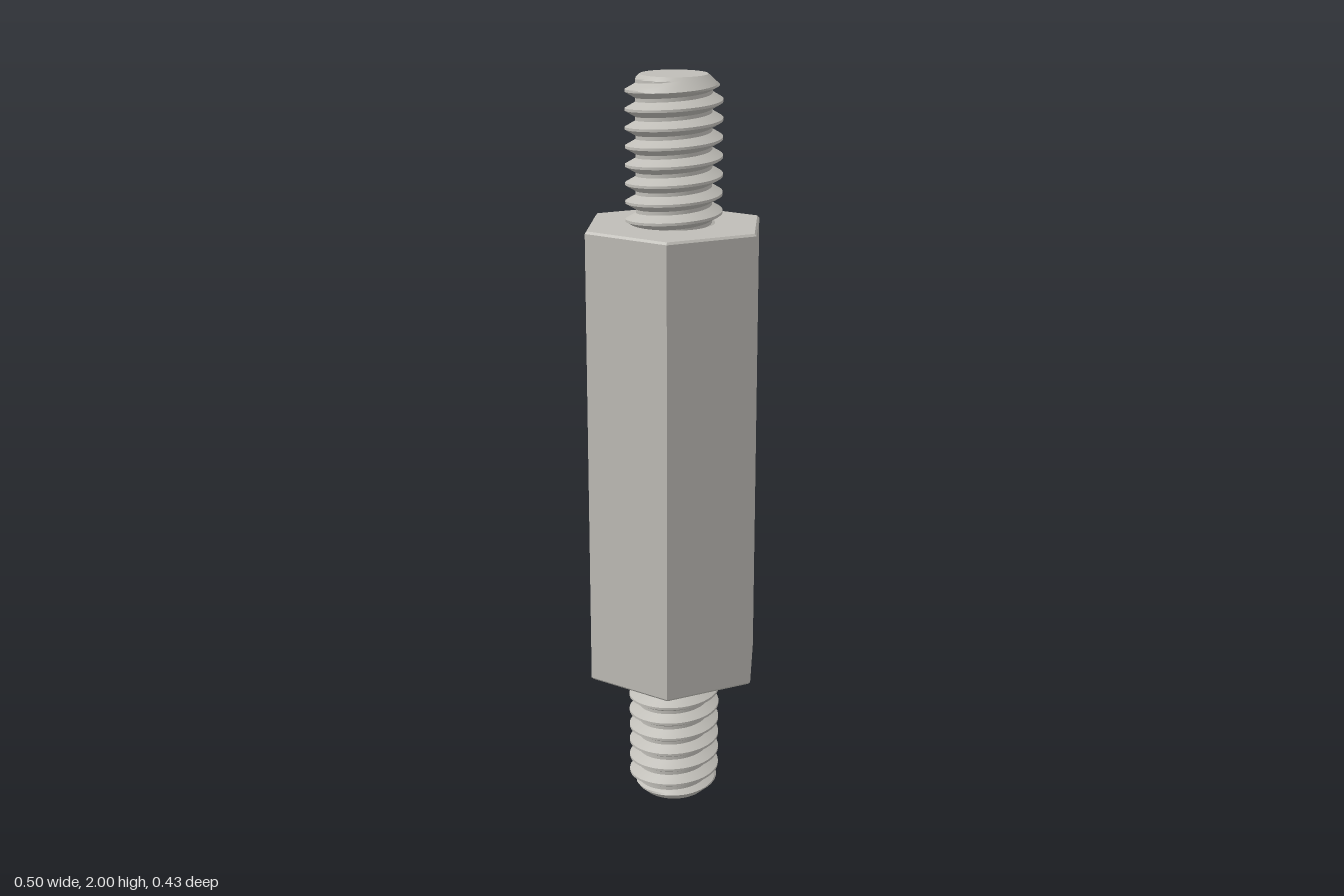
import * as THREE from 'three';
import { toCreasedNormals } from 'three/addons/utils/BufferGeometryUtils.js';

const HEX_BOTTOM = 0.38, HEX_TOP = 1.62, HEX_R = 0.25, BEVEL = 0.006;
const CREST_R = 0.125, ROOT_R = 0.098, TIP_R = 0.087, TIP_CHAMFER = 0.035;
const PITCH = 0.047, SEGMENTS = 48;

// Radius across one pitch: root, rising flank, crest, falling flank
const PROFILE = [[0, ROOT_R], [0.2, ROOT_R], [0.53, CREST_R], [0.67, CREST_R], [1, ROOT_R]];

function profileRadius(t) {
  const f = t - Math.floor(t);
  for (let i = 1; i < PROFILE.length; i++) {
    const [a, ra] = PROFILE[i - 1], [b, rb] = PROFILE[i];
    if (f <= b) return ra + (rb - ra) * (f - a) / (b - a);
  }
  return ROOT_R;
}

// Right-hand threaded stud from y = 0 to y = length, with a chamfered free end
function studGeometry(length) {
  const rows = [];
  const turns = Math.ceil(length / PITCH) + 1;
  for (let k = -1; k < turns; k++) {
    for (let i = 0; i < PROFILE.length - 1; i++) {
      const a = PROFILE[i][0], b = PROFILE[i + 1][0];
      for (let s = 0; s < 3; s++) rows.push(k + a + (b - a) * s / 3);
    }
  }
  const point = (row, j) => {
    const u = j / SEGMENTS;
    const y = THREE.MathUtils.clamp((row + u) * PITCH, 0, length);
    const limit = TIP_R + (length - y) * (CREST_R - TIP_R) / TIP_CHAMFER;
    const r = Math.min(profileRadius(y / PITCH - u), limit);
    const angle = u * Math.PI * 2;
    return new THREE.Vector3(r * Math.cos(angle), y, -r * Math.sin(angle));
  };
  const positions = [];
  const triangle = (a, b, c) => {
    const area = b.clone().sub(a).cross(c.clone().sub(a)).length();
    if (area > 1e-9) for (const p of [a, b, c]) positions.push(p.x, p.y, p.z);
  };
  for (let i = 0; i < rows.length - 1; i++) {
    for (let j = 0; j < SEGMENTS; j++) {
      const a = point(rows[i], j), b = point(rows[i], j + 1);
      const c = point(rows[i + 1], j + 1), d = point(rows[i + 1], j);
      triangle(a, b, c);
      triangle(a, c, d);
    }
  }
  // Flat end cap
  const centre = new THREE.Vector3(0, length, 0);
  for (let j = 0; j < SEGMENTS; j++) {
    const rim = (n) => {
      const t = n / SEGMENTS * Math.PI * 2;
      return new THREE.Vector3(TIP_R * Math.cos(t), length, -TIP_R * Math.sin(t));
    };
    triangle(centre, rim(j), rim(j + 1));
  }
  const geometry = new THREE.BufferGeometry();
  geometry.setAttribute('position', new THREE.Float32BufferAttribute(positions, 3));
  return toCreasedNormals(geometry, 0.45);
}

// Six-sided bar with finely bevelled ends
function hexGeometry() {
  const outline = [
    [0, HEX_BOTTOM], [HEX_R - BEVEL, HEX_BOTTOM], [HEX_R, HEX_BOTTOM + BEVEL],
    [HEX_R, HEX_TOP - BEVEL], [HEX_R - BEVEL, HEX_TOP], [0, HEX_TOP],
  ].map(([x, y]) => new THREE.Vector2(x, y));
  const geometry = new THREE.LatheGeometry(outline, 6, Math.PI / 6).toNonIndexed();
  geometry.computeVertexNormals();
  return geometry;
}

export function createModel() {
  const group = new THREE.Group();
  group.name = 'hexStandoff';
  const steel = new THREE.MeshStandardMaterial({ color: 0xbfbdb7 });
  steel.name = 'steel';

  const body = new THREE.Mesh(hexGeometry(), steel);
  body.name = 'hexBody';
  group.add(body);

  const thread = studGeometry(2 - HEX_TOP);
  const upper = new THREE.Mesh(thread, steel);
  upper.name = 'upperStud';
  upper.position.y = HEX_TOP;

  // A half turn keeps the same thread hand
  const lower = new THREE.Mesh(thread, steel);
  lower.name = 'lowerStud';
  lower.position.y = HEX_BOTTOM;
  lower.rotation.x = Math.PI;
  group.add(upper, lower);
  return group;
}
